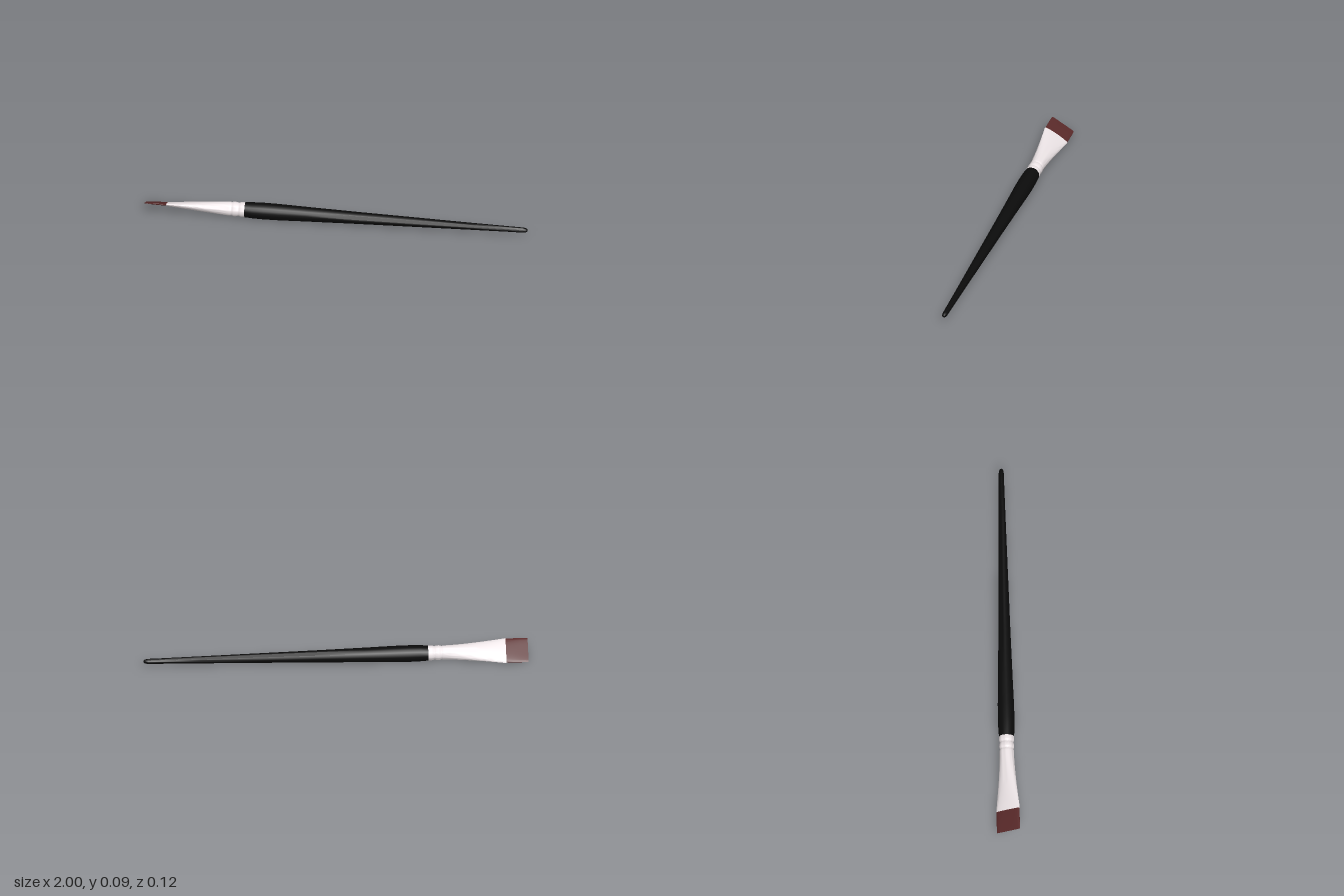
import * as THREE from 'three';
import { toCreasedNormals } from 'three/addons/utils/BufferGeometryUtils.js';

// Closed loft along x. Each section is [x, half width, half thickness, squareness]
function loft(sections, sides) {
  const pos = [], idx = [];
  const power = (v, e) => Math.sign(v) * Math.pow(Math.abs(v), e);
  for (const [x, w, t, e = 1] of sections) {
    for (let j = 0; j < sides; j++) {
      const a = (j / sides) * Math.PI * 2;
      pos.push(x, t * power(Math.sin(a), e), w * power(Math.cos(a), e));
    }
  }
  const last = sections.length - 1;
  const first = pos.length / 3;
  pos.push(sections[0][0], 0, 0, sections[last][0], 0, 0);
  for (let j = 0; j < sides; j++) {
    const k = (j + 1) % sides;
    for (let i = 0; i < last; i++) {
      const a = i * sides + j, b = i * sides + k;
      idx.push(a, a + sides, b, b, a + sides, b + sides);
    }
    idx.push(first, j, k, first + 1, last * sides + k, last * sides + j);
  }
  const g = new THREE.BufferGeometry();
  g.setAttribute('position', new THREE.Float32BufferAttribute(pos, 3));
  g.setIndex(idx);
  return toCreasedNormals(g, 0.7);
}

export function createModel() {
  const brush = new THREE.Group();
  brush.name = 'paintbrush';

  const add = (name, sections, sides, color) => {
    const mesh = new THREE.Mesh(loft(sections, sides), new THREE.MeshStandardMaterial({ color }));
    mesh.name = name;
    brush.add(mesh);
  };
  const round = ([x, r]) => [x, r, r];

  // Long tapering handle with a rounded end
  add('handle', [
    [-0.48, 0.0395], [-0.44, 0.042], [-0.38, 0.0435], [-0.3, 0.0425], [-0.15, 0.038],
    [0.1, 0.0315], [0.4, 0.025], [0.7, 0.0185], [0.9, 0.0145], [0.975, 0.0135],
    [0.99, 0.011], [0.997, 0.007], [1, 0.002],
  ].map(round), 20, 0x0b0b0b);

  // Metal ferrule: flattened mouth blending into a round collar with two crimped rings
  const ferrule = [];
  const steps = 12;
  for (let i = 0; i <= steps; i++) {
    const s = i / steps;
    const flare = Math.pow(1 - s, 1.3);
    ferrule.push([-0.885 + 0.32 * s, 0.037 + 0.034 * flare, 0.009 + 0.028 * Math.pow(s, 0.9)]);
  }
  for (const x of [-0.55, -0.513]) {
    ferrule.push(...[[x - 0.007, 0.037], [x, 0.0345], [x + 0.007, 0.037], [x + 0.015, 0.039]].map(round));
  }
  ferrule.push(...[[-0.485, 0.0385], [-0.474, 0.0385]].map(round));
  add('ferrule', ferrule, 32, 0xeee6e8);

  // Flat bristles, thinning to a straight edge
  add('bristles', [
    [-1, 0.068, 0.002, 0.6], [-0.96, 0.069, 0.005, 0.6],
    [-0.92, 0.069, 0.007, 0.7], [-0.875, 0.068, 0.0075, 0.8],
  ], 32, 0x5a2a2a);

  // Flat end rolled about the handle's axis
  brush.rotation.x = -Math.PI / 6;
  brush.position.y = 0.0435;
  const model = new THREE.Group();
  model.name = 'model';
  model.add(brush);
  return model;
}
